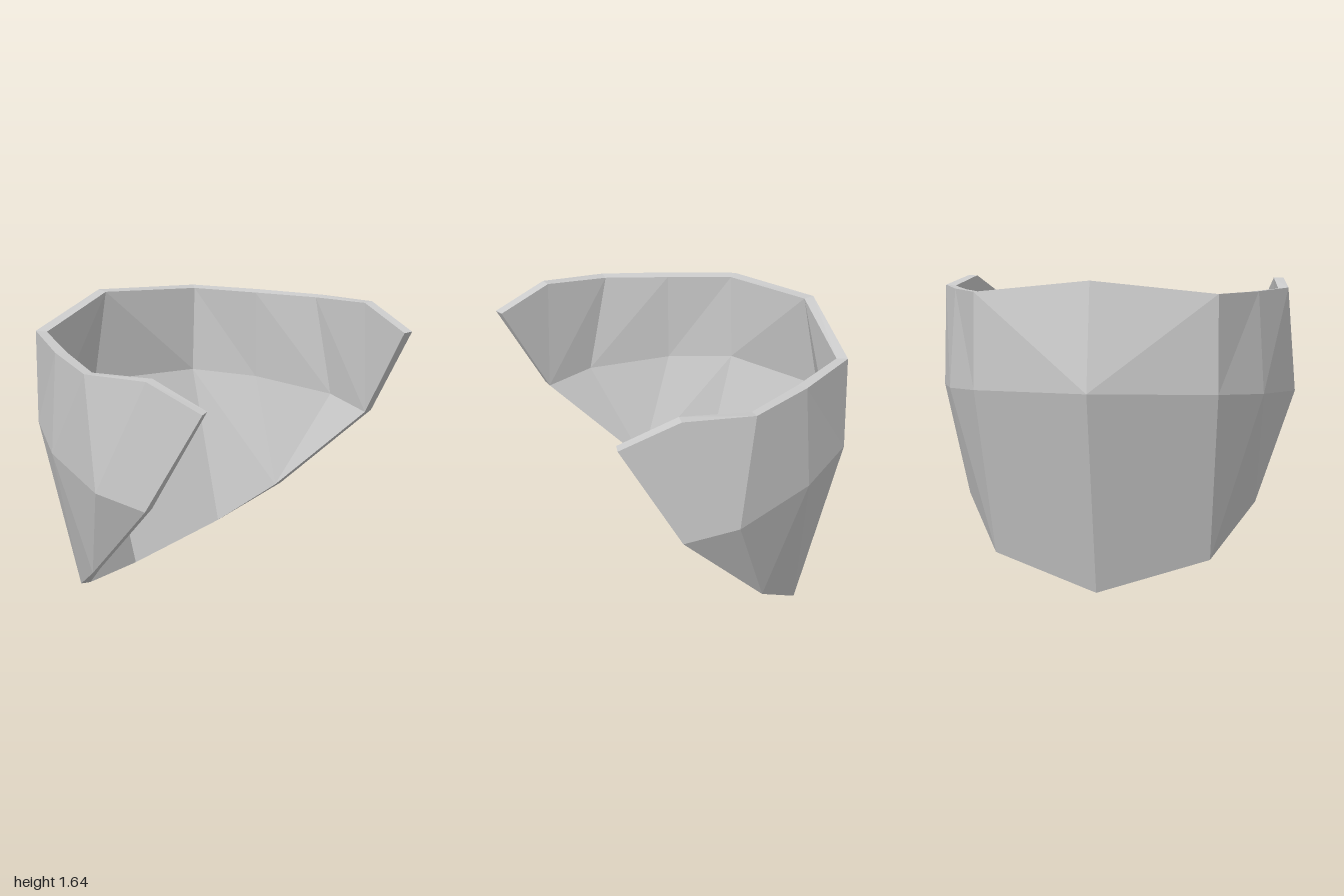
import * as THREE from 'three';

// Half-shell columns from the back centre to the front tip: [top, middle, bottom].
// Columns that taper repeat a point, so their panels become triangles.
const outer = [
  [[0, 1.64, -0.705], [0, 1.09, -0.81], [0, 0, -0.51]],
  [[0.625, 1.57, -0.55], [0.63, 1.065, -0.555], [0.58, 0.15, -0.32]],
  [[0.81, 1.565, -0.21], [0.845, 1.03, -0.225], [0.8, 0.405, 0]],
  [[0.955, 1.565, 0.14], [1, 0.99, 0.24], [0.8, 0.405, 0]],
  [[0.92, 1.6, 0.51], [0.95, 0.955, 0.52], [0.95, 0.955, 0.52]],
  [[0.87, 1.495, 0.81], [0.87, 1.495, 0.81], [0.87, 1.495, 0.81]],
];
const inner = [
  [[0, 1.635, -0.65], [0, 1.09, -0.755], [0, 0.02, -0.455]],
  [[0.588, 1.565, -0.505], [0.578, 1.07, -0.51], [0.548, 0.16, -0.28]],
  [[0.755, 1.56, -0.185], [0.79, 1.04, -0.2], [0.745, 0.41, 0]],
  [[0.9, 1.56, 0.14], [0.94, 0.99, 0.24], [0.745, 0.41, 0]],
  [[0.865, 1.6, 0.5], [0.895, 0.955, 0.515], [0.895, 0.955, 0.515]],
  [[0.818, 1.495, 0.795], [0.818, 1.495, 0.795], [0.818, 1.495, 0.795]],
];

function buildHalf(side) {
  const pos = [];
  const same = (a, b) => a.every((v, k) => v === b[k]);
  const tri = (a, b, c) => {
    if (same(a, b) || same(b, c) || same(a, c)) return;
    const corners = side > 0 ? [a, b, c] : [a, c, b];
    for (const [x, y, z] of corners) pos.push(side * x, y, z);
  };
  const quad = (p, q, r, s) => { tri(p, q, r); tri(q, s, r); };

  for (let i = 0; i < outer.length - 1; i++) {
    const o = outer[i], o2 = outer[i + 1], n = inner[i], n2 = inner[i + 1];
    // Outside and inside walls
    for (let j = 0; j < 2; j++) {
      quad(o[j], o2[j], o[j + 1], o2[j + 1]);
      quad(n2[j], n[j], n2[j + 1], n[j + 1]);
    }
    // Top and bottom rims
    quad(n[0], n2[0], o[0], o2[0]);
    quad(o[2], o2[2], n[2], n2[2]);
  }
  const geometry = new THREE.BufferGeometry();
  geometry.setAttribute('position', new THREE.Float32BufferAttribute(pos, 3));
  geometry.computeVertexNormals();
  return geometry;
}

export function createModel() {
  const model = new THREE.Group();
  model.name = 'facetedGuard';
  const grey = new THREE.MeshStandardMaterial({ color: 0xcccccc, flatShading: true });
  grey.name = 'lightGrey';
  for (const [name, side] of [['leftShell', 1], ['rightShell', -1]]) {
    const mesh = new THREE.Mesh(buildHalf(side), grey);
    mesh.name = name;
    model.add(mesh);
  }
  return model;
}
